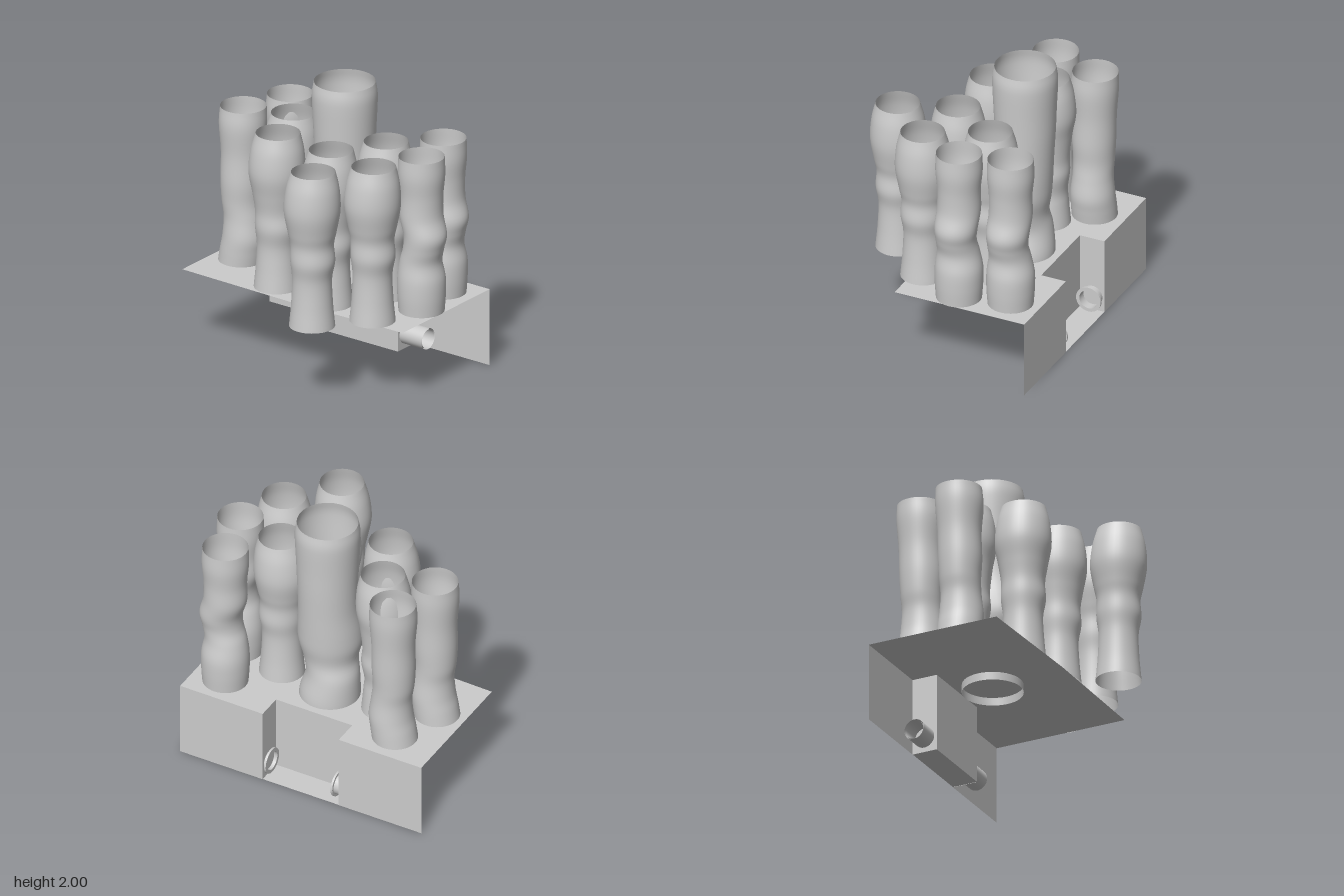
import * as THREE from 'three';
import { mergeVertices, toCreasedNormals } from 'three/addons/utils/BufferGeometryUtils.js';

const material = new THREE.MeshStandardMaterial({ color: 0xcccccc, side: THREE.DoubleSide });
const DECK = 0.556, TOP = 1.68;

function part(name, geometry, parent) {
  const mesh = new THREE.Mesh(geometry, material);
  mesh.name = name;
  parent.add(mesh);
  return mesh;
}

// Open tube whose rings [y, radius, dx, dz] swell and sway along its height
function wavyTube(rings) {
  const axis = new THREE.CatmullRomCurve3(rings.map(([y, , dx = 0, dz = 0]) => new THREE.Vector3(dx, y, dz)), false, 'catmullrom');
  const radius = new THREE.CatmullRomCurve3(rings.map(([, r]) => new THREE.Vector3(r, 0, 0)), false, 'catmullrom');
  const geometry = new THREE.CylinderGeometry(1, 1, 1, 40, 48, true);
  const pos = geometry.attributes.position;
  for (let i = 0; i < pos.count; i++) {
    const t = THREE.MathUtils.clamp(pos.getY(i) + 0.5, 0, 1);
    const c = axis.getPoint(t), r = radius.getPoint(t).x;
    pos.setXYZ(i, c.x + pos.getX(i) * r, c.y, c.z + pos.getZ(i) * r);
  }
  geometry.deleteAttribute('uv');
  geometry.deleteAttribute('normal');
  const welded = mergeVertices(geometry, 1e-5);
  welded.computeVertexNormals();
  return welded;
}

// Wide-shouldered tube with a raised ring above its waist
const shouldered = (ridge) => [
  [DECK, 0.157], [0.72, 0.142], [ridge - 0.13, 0.136], [ridge, 0.153, 0, 0.005], [ridge + 0.12, 0.149],
  [1.25, 0.168], [1.4, 0.193], [1.55, 0.183, 0, 0.005], [TOP, 0.152, 0, 0.01],
];

// Slim tubes: kinked ones at the front, swaying ones at the back
const kinked = [
  [DECK, 0.157], [0.68, 0.165], [0.8, 0.164], [0.92, 0.145, -0.005, 0], [1.02, 0.14, -0.01, 0.025],
  [1.12, 0.148, -0.005, 0.035], [1.25, 0.15, 0, 0], [1.4, 0.148], [1.55, 0.161], [TOP, 0.157],
];
const swaying = [
  [DECK, 0.157, 0, -0.01], [0.65, 0.156, 0, 0.005], [0.75, 0.152, 0, 0.02], [0.88, 0.14, 0, 0.015],
  [1.0, 0.142], [1.15, 0.15], [1.35, 0.15, 0.005, 0], [1.55, 0.164, 0.005, 0], [TOP, 0.158, 0.01, 0],
];
const tall = [
  [0.5, 0.21, -0.01, -0.01], [0.6, 0.207, -0.01, -0.015], [0.75, 0.184, -0.01, -0.035], [0.87, 0.188, -0.03, -0.01],
  [1.0, 0.222, -0.045, 0], [1.12, 0.221, -0.035, 0], [1.3, 0.206, -0.01, 0], [1.5, 0.208], [1.68, 0.215],
  [1.85, 0.223], [1.93, 0.222], [2, 0.21],
];

const tubes = [
  ['tallTube', 0.27, 0.02, tall],
  ['backTube', 0.12, -0.735, swaying],
  ['backTube', 0.48, -0.61, swaying],
  ['shoulderedTube', 0.235, -0.4, shouldered(0.95)],
  ['shoulderedTube', -0.115, -0.265, shouldered(1.0)],
  ['shoulderedTube', -0.14, 0.205, shouldered(1.0)],
  ['shoulderedTube', -0.525, 0.345, shouldered(1.03)],
  ['shoulderedTube', 0.205, 0.41, shouldered(1.03)],
  ['shoulderedTube', -0.205, 0.615, shouldered(1.03)],
  ['frontTube', 0.14, 0.77, kinked],
  ['frontTube', 0.49, 0.69, kinked],
];

export function createModel() {
  const model = new THREE.Group();
  model.name = 'tubeBank';

  // Thin deck, outlined in x and z, with a recess in its right-hand edge
  const recess = [[0.705, 0.92], [0.705, 0.28], [0.52, 0.28], [0.52, -0.31], [0.705, -0.31], [0.705, -0.95]];
  const outline = [...recess, [-0.27, -0.95], [-0.29, -0.02], [-0.27, 0.92]];
  const deck = new THREE.Shape(outline.map(([x, z]) => new THREE.Vector2(x, z)));
  part('deck', new THREE.ShapeGeometry(deck).rotateX(Math.PI / 2), model).position.y = DECK;

  // Skirt wall following the recessed edge
  const skirt = new THREE.Group();
  skirt.name = 'skirt';
  model.add(skirt);
  for (let i = 0; i < recess.length - 1; i++) {
    const [x0, z0] = recess[i], [x1, z1] = recess[i + 1];
    const panel = part('skirtPanel', new THREE.PlaneGeometry(Math.hypot(x1 - x0, z1 - z0), DECK), skirt);
    panel.position.set((x0 + x1) / 2, DECK / 2, (z0 + z1) / 2);
    panel.rotation.y = Math.atan2(z0 - z1, x1 - x0);
  }

  // Floor of the recess
  const floor = part('recessFloor', new THREE.PlaneGeometry(0.185, 0.59).rotateX(-Math.PI / 2), model);
  floor.position.set(0.6125, 0.002, -0.015);

  // Flanged pipe stubs passing through the recess ends
  const stub = (length) => toCreasedNormals(new THREE.LatheGeometry([
    [0.075, length], [0.075, 0.014], [0.093, 0.014], [0.093, 0], [0.068, 0], [0.068, length],
  ].map(([r, y]) => new THREE.Vector2(r, y)), 32), 0.6);
  const frontPipe = part('frontPipe', stub(0.21), model);
  frontPipe.position.set(0.615, 0.108, 0.255);
  frontPipe.rotation.x = Math.PI / 2;
  const backPipe = part('backPipe', stub(0.21), model);
  backPipe.position.set(0.615, 0.108, -0.247);
  backPipe.rotation.x = -Math.PI / 2;

  // Standing tubes
  for (const [name, x, z, rings] of tubes) {
    part(name, wavyTube(rings), model).position.set(x, 0, z);
  }
  return model;
}
